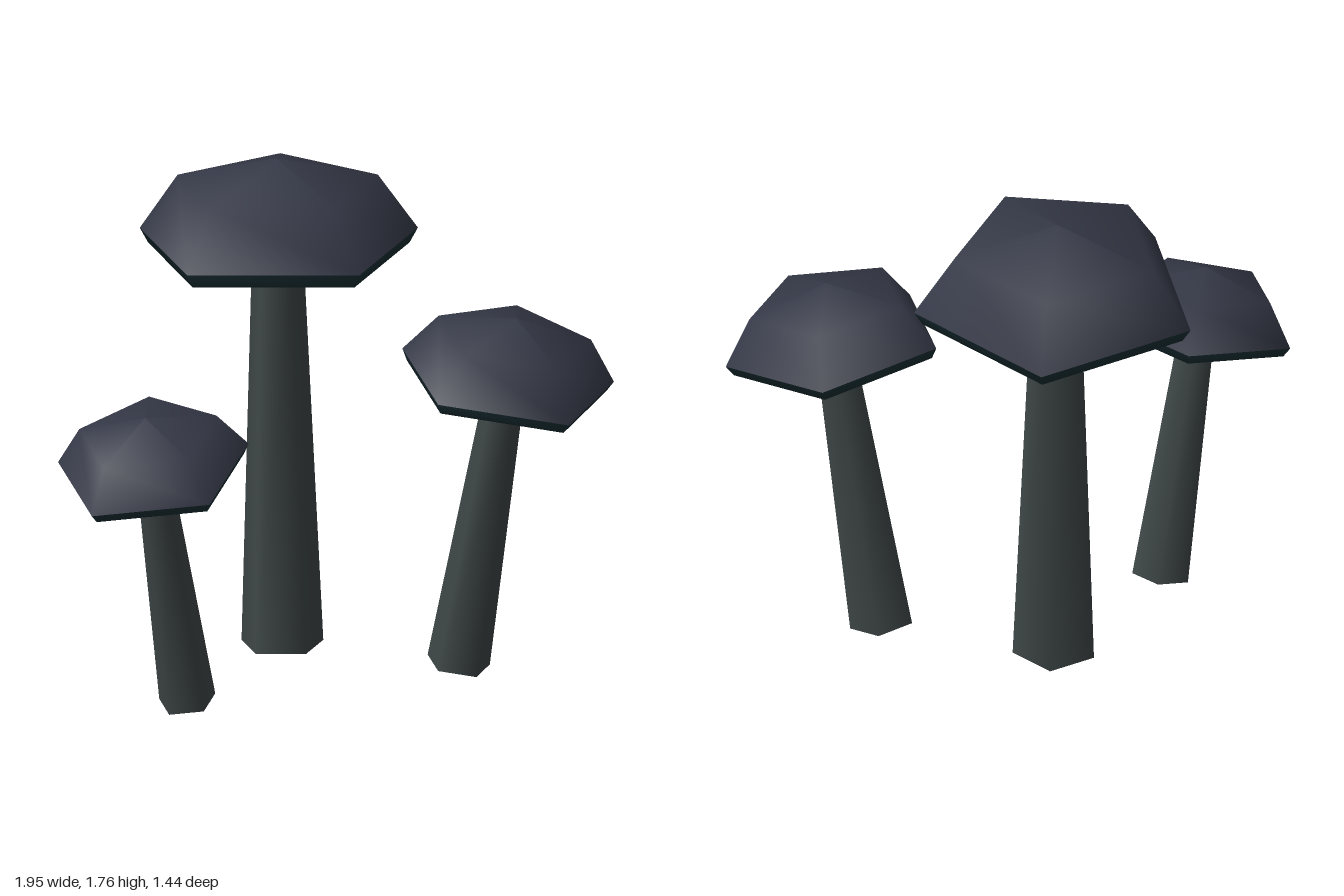
import * as THREE from 'three';

const SIDES = 5;
const material = (color) => new THREE.MeshStandardMaterial({ color });

// Five-sided turned part with one corner pointing to +x
function turned(points, mat, name) {
  const profile = points.map(([r, y]) => new THREE.Vector2(r, y));
  const mesh = new THREE.Mesh(new THREE.LatheGeometry(profile, SIDES, Math.PI / 2), mat);
  mesh.name = name;
  return mesh;
}

export function createModel() {
  const model = new THREE.Group();
  model.name = 'mushroomCluster';
  const capMat = material(0x343846);
  const undersideMat = material(0x1c343a);
  const stemMat = material(0x404848);

  // base: foot centre, lean: sideways drift per unit of height
  function mushroom(name, base, lean, stemHeight, size) {
    const group = new THREE.Group();
    group.name = name;

    // Tapered stem, reaching a little into the cap
    const length = stemHeight + 0.02 * size;
    const stem = new THREE.Mesh(
      new THREE.CylinderGeometry(0.094 * size, 0.147 * size, length, SIDES, 1, false, Math.PI / 2),
      stemMat
    );
    stem.position.y = length / 2;
    stem.name = 'stem';

    // Domed cap with a shallow underside
    const cap = new THREE.Group();
    cap.name = 'cap';
    cap.add(
      turned([[0, 0], [0.1, 0], [0.47, 0.055], [0.5, 0.105]], undersideMat, 'capUnderside'),
      turned([[0.5, 0.105], [0.36, 0.308], [0, 0.4]], capMat, 'capDome')
    );
    cap.scale.setScalar(size);
    cap.position.y = stemHeight;

    group.add(stem, cap);
    group.position.set(...base);
    const axis = new THREE.Vector3(lean[0], 1, lean[1]).normalize();
    group.quaternion.setFromUnitVectors(new THREE.Vector3(0, 1, 0), axis);
    model.add(group);
  }

  mushroom('largeMushroom', [-0.085, 0.03, -0.13], [0.01, -0.075], 1.335, 1);
  mushroom('mediumMushroom', [0.45, 0.02, 0.19], [0.138, 0.085], 0.995, 0.77);
  mushroom('smallMushroom', [-0.545, 0.03, 0.295], [-0.17, 0.122], 0.857, 0.69);

  return model;
}
